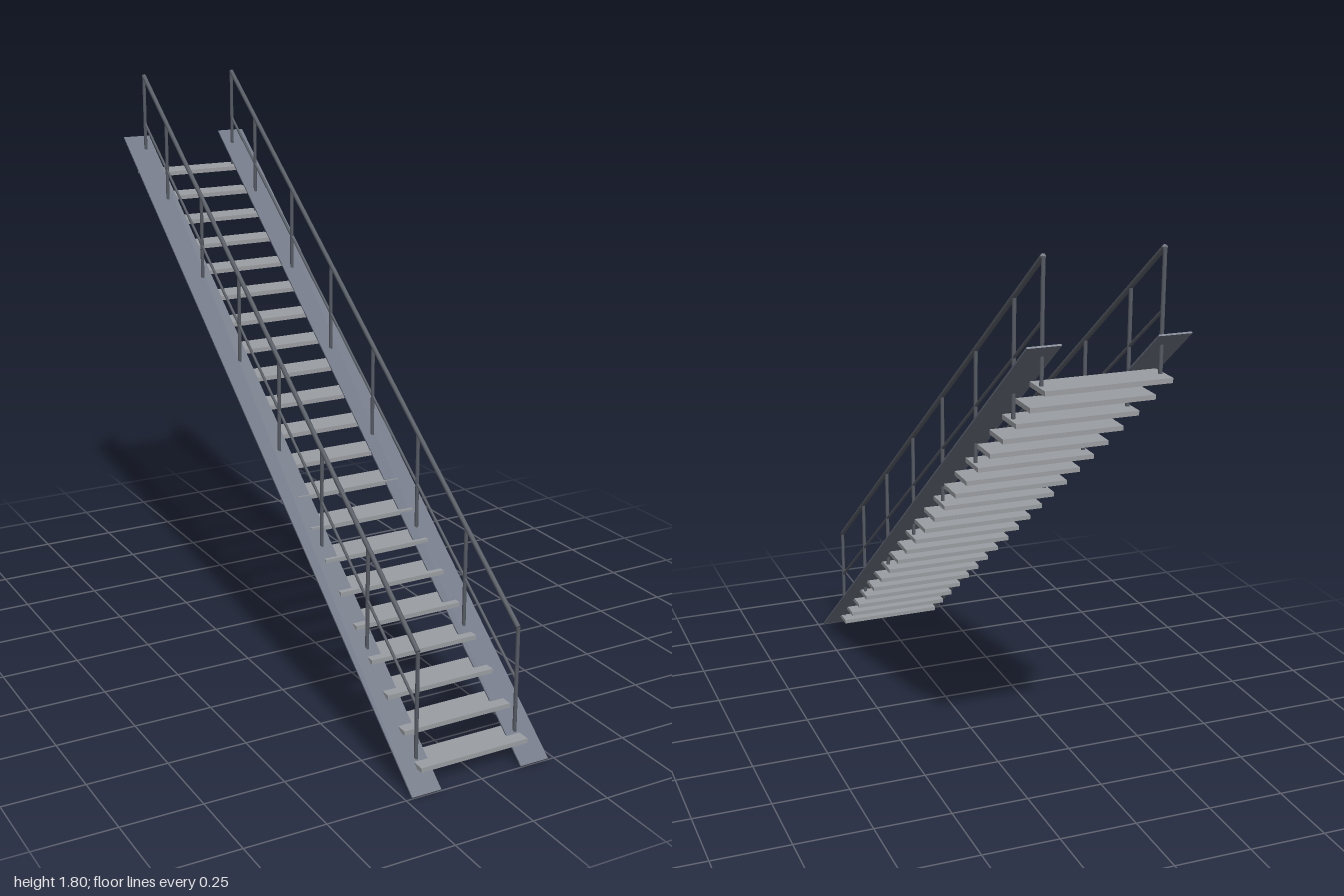
import * as THREE from 'three';

const material = (name, color) => {
  const m = new THREE.MeshStandardMaterial({ color });
  m.name = name;
  return m;
};

export function createModel() {
  const stair = new THREE.Group();
  stair.name = 'staircase';
  const stringerPaint = material('blue grey steel', 0x6b7280);
  const treadPaint = material('light grey tread', 0x9a9da1);
  const railPaint = material('dark grey rail', 0x565b63);

  const add = (name, geometry, mat, x, y, z) => {
    const mesh = new THREE.Mesh(geometry, mat);
    mesh.name = name;
    mesh.position.set(x, y, z);
    stair.add(mesh);
    return mesh;
  };

  // Round bar between two points (y, z) in the plane at x
  const bar = (name, x, [y0, z0], [y1, z1], radius) => {
    const length = Math.hypot(y1 - y0, z1 - z0);
    const mesh = add(name, new THREE.CylinderGeometry(radius, radius, length, 8),
      railPaint, x, (y0 + y1) / 2, (z0 + z1) / 2);
    mesh.rotation.x = Math.atan2(z1 - z0, y1 - y0);
  };

  // Treads rise evenly towards the back
  const count = 21;
  const treadAt = (i) => [0.06 + i * 0.07, 0.915 - i * 0.09325];
  const treadGeometry = new THREE.BoxGeometry(0.36, 0.014, 0.1);
  for (let i = 0; i < count; i++) {
    const [y, z] = treadAt(i);
    add('tread', treadGeometry, treadPaint, 0, y, z);
  }

  // Thin sloping side plates
  const rise = 1.58, run = 2;
  const plate = new THREE.BoxGeometry(0.095, 0.005, Math.hypot(rise, run) - 0.004);

  const postHeight = 0.34;
  const postSteps = [0, 3, 6, 9, 12, 15, 18, 20];
  for (const side of [-1, 1]) {
    add('stringer', plate, stringerPaint, side * 0.1825, 0.794, 0).rotation.x = Math.atan2(rise, run);

    // Handrail posts stand on every third tread and on the last
    const x = side * 0.168;
    for (const i of postSteps) {
      const [y, z] = treadAt(i);
      bar('post', x, [y, z], [y + postHeight, z], 0.006);
    }

    // Handrail and mid rail follow the treads
    const [y0, z0] = treadAt(0);
    const [y1, z1] = treadAt(count - 1);
    bar('handrail', x, [y0 + postHeight, z0], [y1 + postHeight, z1], 0.0075);
    bar('midRail', x, [y0 + postHeight / 2 + 0.005, z0], [y1 + postHeight / 2 + 0.005, z1], 0.0045);
  }
  return stair;
}
